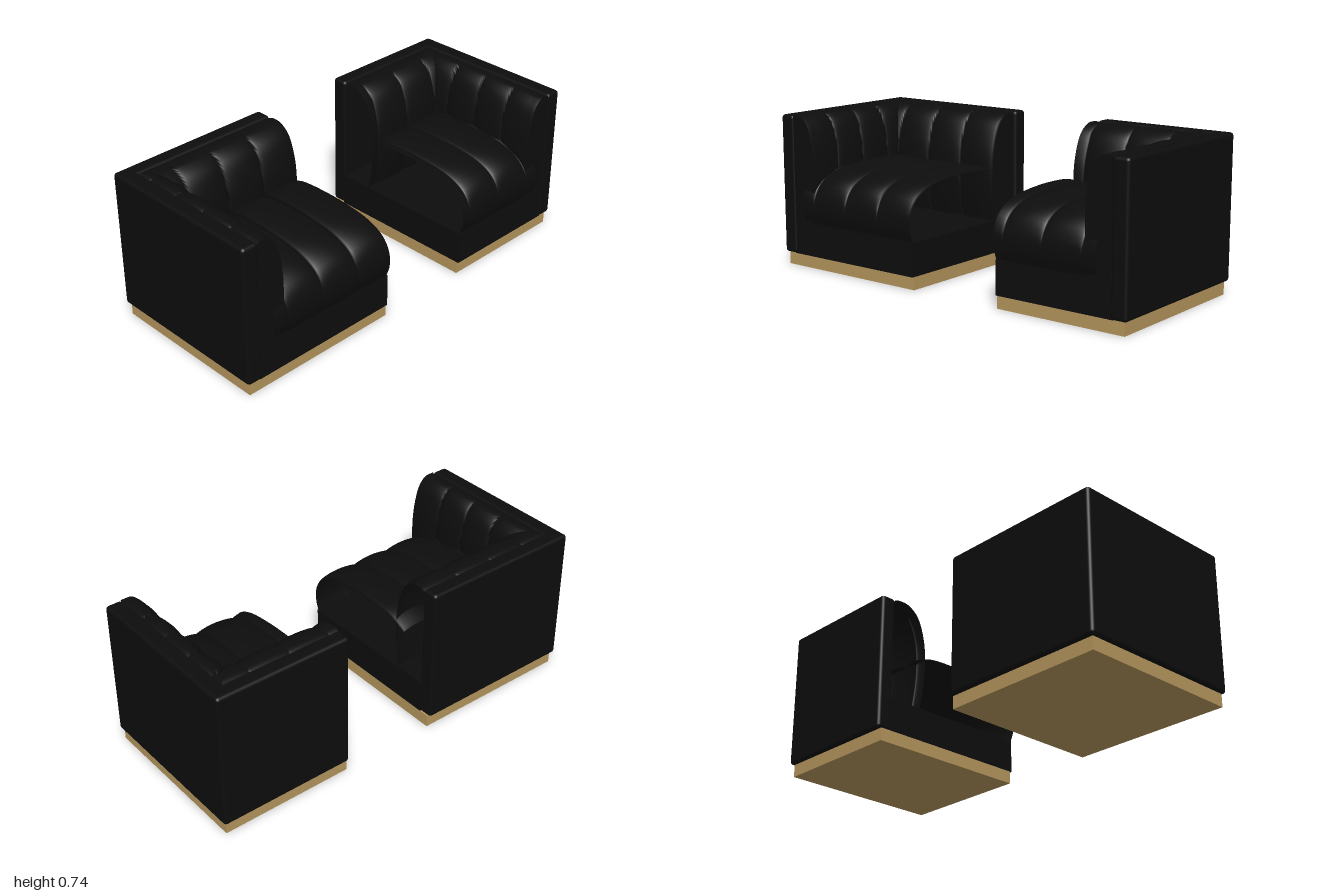
import * as THREE from 'three';
import { RoundedBoxGeometry } from 'three/addons/geometries/RoundedBoxGeometry.js';
import { ParametricGeometry } from 'three/addons/geometries/ParametricGeometry.js';

const BOTTOM = 0.062, TOP = 0.743, BACK = -0.43, FRONT = 0.424;
const spline = pts => new THREE.SplineCurve(pts.map(p => new THREE.Vector2(...p)));

// Pad section: x is the depth (0 at the panel, 1 at the fullest point), y the height
const padCurve = spline([[0, 0.735], [0.15, 0.744], [0.45, 0.738], [0.75, 0.69], [0.94, 0.59],
  [1, 0.48], [0.97, 0.36], [0.86, 0.215]]);
// Seat section: x is z, y the height
const seatCurve = spline([[0.415, 0.222], [0.434, 0.29], [0.428, 0.37], [0.385, 0.44], [0.29, 0.485],
  [0.15, 0.505], [0, 0.51], [-0.13, 0.5], [-0.23, 0.46]]);

// Depth of the stitched valley between two channels: 1 in the valley, 0 on the crown
const valley = (a, pitch) => 1 - Math.sqrt(Math.abs(Math.sin(Math.PI * a / pitch)));

export function createModel() {
  const fabric = new THREE.MeshStandardMaterial({ color: 0x0d0d0d, side: THREE.DoubleSide });
  fabric.name = 'black fabric';
  const brass = new THREE.MeshStandardMaterial({ color: 0xb5965d });
  brass.name = 'brass';
  const model = new THREE.Group();

  // One end of the sofa: side is the sign of x, cut the open inner end
  function sofaEnd(name, side, cut) {
    const group = new THREE.Group();
    group.name = name;
    const add = (part, geometry, material = fabric) => {
      const mesh = new THREE.Mesh(geometry, material);
      mesh.name = part;
      group.add(mesh);
    };
    const box = (part, x0, x1, y0, y1, z0, z1, radius, material) => {
      const size = [x1 - x0, y1 - y0, z1 - z0];
      const g = radius ? new RoundedBoxGeometry(...size, 3, radius) : new THREE.BoxGeometry(...size);
      add(part, g.translate(side * (x0 + x1) / 2, (y0 + y1) / 2, (z0 + z1) / 2), material);
    };
    // Surface from a rule (u along the part, v around its section), mirrored by side
    const surface = (part, rule, nu, nv) => add(part, new ParametricGeometry((u, v, target) => {
      const [x, y, z] = rule(side > 0 ? u : 1 - u, v);
      target.set(side * x, y, z);
    }, nu, nv));

    // Plinth, frame panels and seat base
    box('plinth', cut, 0.982, 0, BOTTOM, -0.41, 0.408, 0, brass);
    box('armPanel', 0.918, 0.999, BOTTOM, TOP, BACK, FRONT, 0.016);
    box('backPanel', cut, 0.999, BOTTOM, TOP, BACK, -0.352, 0.016);
    box('seatBase', cut, 0.93, BOTTOM, 0.224, -0.36, 0.418, 0);

    // Channelled back pad, mitred at the corner
    surface('backPad', (u, v) => {
      const p = padCurve.getPoint(v);
      const x = THREE.MathUtils.lerp(0.92 - 0.14 * p.x, cut, u);
      const dip = valley(x - 0.78, 0.205);
      return [x, p.y - 0.006 * dip, -0.355 + 0.2 * p.x * (1 - 0.1 * dip)];
    }, 80, 28);

    // Channelled arm pad, mitred to the back pad, with a closed front end
    const armPoint = (z, p, depth) => {
      const dip = valley(z - FRONT, 0.175) * (z > 0.38 ? 0.5 : 1);
      return [0.92 - 0.14 * p.x * depth * (1 - 0.12 * dip), p.y - 0.006 * dip, z];
    };
    surface('armPad', (u, v) => {
      const p = padCurve.getPoint(v);
      return armPoint(THREE.MathUtils.lerp(FRONT - 0.004, -0.355 + 0.2 * p.x, u), p, 1);
    }, 80, 28);
    surface('armPadEnd', (u, v) => armPoint(FRONT - 0.004, padCurve.getPoint(v), u), 2, 28);

    // Channelled seat cushion, a hollow cover open at the cut end
    surface('seatCushion', (u, v) => {
      const p = seatCurve.getPoint(v);
      const x = THREE.MathUtils.lerp(0.85, cut, u);
      const dip = valley(x - 0.78, 0.205);
      return [x, p.y - 0.02 * dip * Math.min(1, (p.y - 0.222) * 5), p.x - 0.01 * dip * Math.max(0, p.x)];
    }, 80, 32);
    model.add(group);
  }

  sofaEnd('rightSofaEnd', -1, 0.165);
  sofaEnd('leftSofaEnd', 1, 0.32);
  return model;
}
